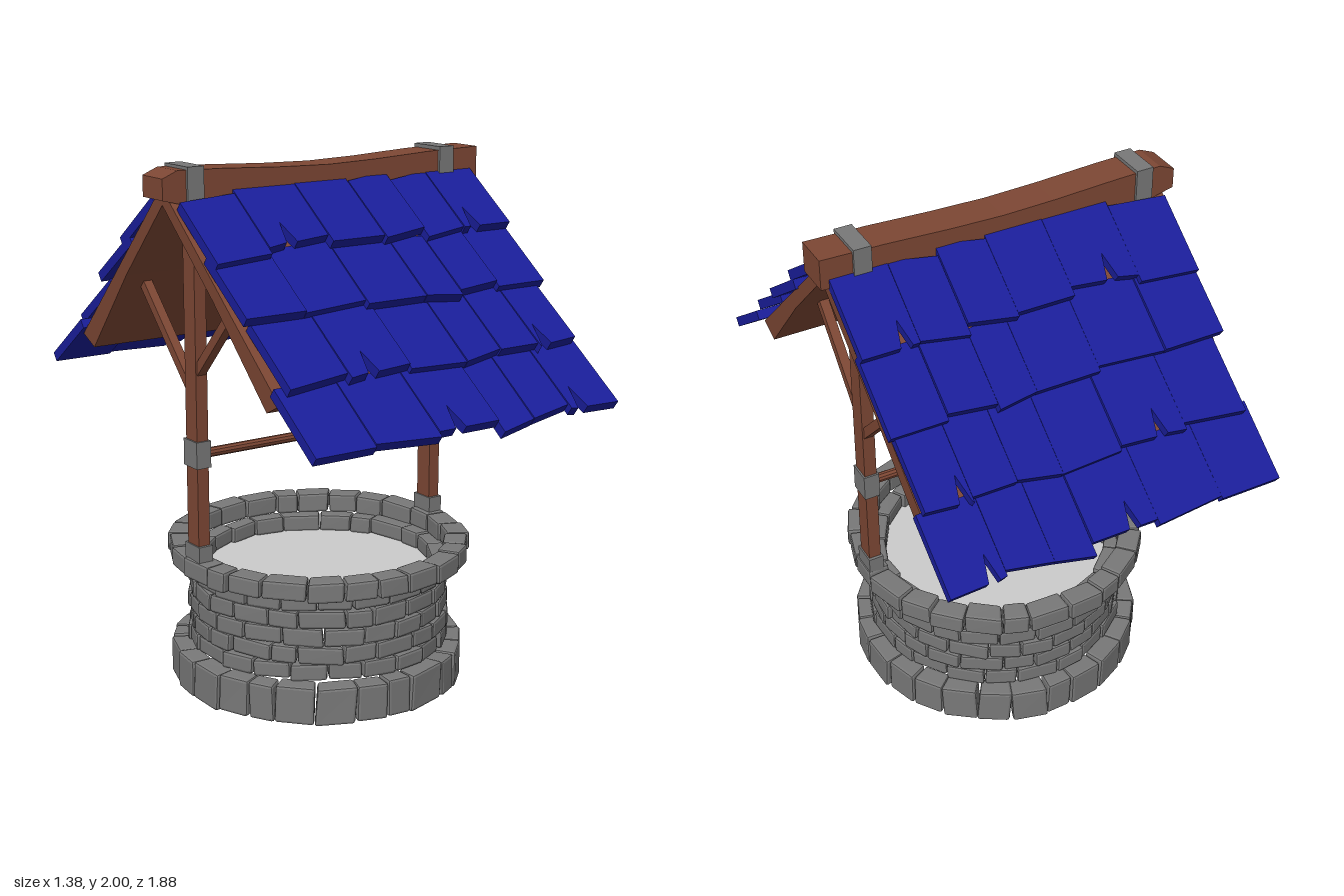
import * as THREE from 'three';
import { mergeGeometries } from 'three/addons/utils/BufferGeometryUtils.js';
import { RoundedBoxGeometry } from 'three/addons/geometries/RoundedBoxGeometry.js';

const mat = (color, side = THREE.FrontSide) =>
  new THREE.MeshStandardMaterial({ color, flatShading: true, side });
const WOOD = mat(0x7d4734), TILE = mat(0x1a1e9a), STONE = mat(0x787878);
const WATER = mat(0xcccccc, THREE.DoubleSide);

let seed = 7;
const rand = () => (seed = (seed * 16807) % 2147483647) / 2147483647;
const jitter = (a) => (rand() * 2 - 1) * a;

function add(parent, name, geometry, material, x = 0, y = 0, z = 0) {
  const mesh = new THREE.Mesh(geometry, material);
  mesh.name = name;
  mesh.position.set(x, y, z);
  parent.add(mesh);
  return mesh;
}

const box = (parent, name, material, w, h, d, x, y, z) =>
  add(parent, name, new THREE.BoxGeometry(w, h, d), material, x, y, z);

function polygon(points) {
  return new THREE.Shape(points.map(([x, y]) => new THREE.Vector2(x, y)));
}

// One chamfered block, bent around the y axis between two angles
function stone(r0, r1, y0, y1, a0, a1) {
  const rm = (r0 + r1) / 2, w = (a1 - a0) * rm, h = y1 - y0, d = r1 - r0;
  const g = new RoundedBoxGeometry(w, h, d, 1, 0.01);
  const p = g.attributes.position;
  const skew = jitter(0.07), lean = jitter(0.05), twist = jitter(0.08), out = jitter(0.006);
  for (let i = 0; i < p.count; i++) {
    const x = p.getX(i), y = p.getY(i), z = p.getZ(i);
    const a = (a0 + a1) / 2 + (x + skew * y) / rm;
    const r = rm + z + out + twist * x;
    p.setXYZ(i, Math.sin(a) * r, (y0 + y1) / 2 + y + lean * x, Math.cos(a) * r);
  }
  g.computeVertexNormals();
  return g;
}

// A closed course of stones of uneven widths
function stoneRing(parent, name, count, r0, r1, y0, y1, phase) {
  const step = (Math.PI * 2) / count, gap = 0.004;
  const cuts = Array.from({ length: count }, (_, i) => phase + step * (i + jitter(0.17)));
  cuts.push(cuts[0] + Math.PI * 2);
  const stones = [];
  for (let i = 0; i < count; i++) {
    stones.push(stone(r0, r1, y0 + jitter(0.003), y1 + jitter(0.003), cuts[i] + gap, cuts[i + 1] - gap));
  }
  add(parent, name, mergeGeometries(stones), STONE);
}

// Tile rows from ridge to eave: edges in x, slant and slide of each tile, notches as tile index: x
const ROWS = [
  { x: [-0.64, -0.41, -0.15, 0.075, 0.26, 0.44, 0.655], slant: [0.02, 0.03, 0.0, 0.03, 0.03, 0.0],
    slide: [-0.03, 0.02, 0, 0, -0.01, 0.0], notch: { 1: -0.31, 5: 0.49 } },
  { x: [-0.64, -0.4, -0.14, 0.11, 0.26, 0.44, 0.655], slant: [0.0, 0.02, 0.0, -0.02, 0.02, 0.0],
    slide: [0.0, 0.01, 0, -0.01, 0.01, 0.0], notch: {} },
  { x: [-0.61, -0.365, -0.11, 0.125, 0.29, 0.46, 0.635], slant: [0.03, 0.02, -0.01, 0.03, 0.0, 0.02],
    slide: [0.0, 0.0, -0.01, 0, 0.01, 0.0], notch: { 1: -0.27, 5: 0.49 } },
  { x: [-0.64, -0.4, -0.14, 0.115, 0.265, 0.44, 0.655], slant: [0.0, -0.02, 0.0, 0.03, 0.03, -0.01],
    slide: [0.0, 0.0, 0.01, -0.02, 0.01, 0.0], notch: { 2: -0.05, 5: 0.49 } },
];

function tileGeometry(x0, x1, slant, slide, notchX, mirror) {
  const length = 0.3, at = (x, v) => [x * mirror, v];
  const rise = slant / 2;
  const pts = [at(x0, slide - rise), at(x0, slide - rise - length)];
  if (notchX !== undefined) {
    pts.push(at(notchX - 0.022, slide - length), at(notchX, slide - length + 0.1), at(notchX + 0.022, slide - length));
  }
  pts.push(at(x1, slide + rise - length), at(x1, slide + rise));
  return new THREE.ExtrudeGeometry(polygon(pts), { depth: 0.037, bevelEnabled: false });
}

// One side of the roof: sloping board and overlapping tiles
function roofSide(name, mirror) {
  const side = new THREE.Group();
  side.name = name;

  const profile = polygon([[0, 1.93], [0.1, 1.835], [0.68, 1.29], [0.6, 1.25], [0.3, 1.575], [0, 1.865]]);
  const board = new THREE.ExtrudeGeometry(profile, { depth: 1.3, bevelEnabled: false });
  board.translate(0, 0, -0.65).rotateY(-Math.PI / 2);
  const p = board.attributes.position;
  for (let i = 0; i < p.count; i++) {
    p.setX(i, p.getX(i) * (0.955 + 0.055 * (p.getY(i) - 1.25) / 0.68));
  }
  board.computeVertexNormals();
  add(side, 'roofBoard', board, WOOD);

  const slope = new THREE.Group();
  slope.name = 'roofTiles';
  slope.position.set(0, 1.93, 0.09);
  slope.rotation.x = -0.822;
  ROWS.forEach((row, r) => {
    for (let i = 0; i < 6; i++) {
      const g = tileGeometry(row.x[i] + 0.001, row.x[i + 1] - 0.001, row.slant[i], row.slide[i], row.notch[i], mirror);
      const lift = ((i * 5 + r * 3) % 4) * 0.005;
      const tile = add(slope, 'roofTile', g, TILE, 0, -0.275 * r, -0.07 + lift * 0.4);
      tile.rotation.x = -0.115 - lift;
    }
  });
  side.add(slope);
  return side;
}

// Square strut between two points in the zy plane
function brace(parent, x, z0, y0, z1, y1) {
  const dz = z1 - z0, dy = y1 - y0;
  const m = box(parent, 'brace', WOOD, 0.035, Math.hypot(dz, dy), 0.035, x, (y0 + y1) / 2, (z0 + z1) / 2);
  m.rotation.x = Math.atan2(dz, dy);
}

export function createModel() {
  seed = 7;
  const well = new THREE.Group();
  well.name = 'well';

  // Stone shaft
  const shaft = new THREE.Group();
  shaft.name = 'stoneShaft';
  stoneRing(shaft, 'baseRing', 26, 0.475, 0.558, 0.008, 0.15, 0.1);
  const courses = 5, h = 0.335 / courses;
  for (let i = 0; i < courses; i++) {
    stoneRing(shaft, 'wallCourse', 22, 0.43, 0.497, 0.15 + i * h, 0.15 + (i + 1) * h, i * 0.14);
  }
  stoneRing(shaft, 'rimRing', 26, 0.485, 0.572, 0.48, 0.555, 0.02);
  add(shaft, 'water', new THREE.CircleGeometry(0.45, 40).rotateX(-Math.PI / 2), WATER, 0, 0.42, 0);
  well.add(shaft);

  // Posts with collars and braces
  for (const s of [-1, 1]) {
    const post = new THREE.Group();
    post.name = s > 0 ? 'leftPost' : 'rightPost';
    const x = s * 0.53;
    box(post, 'postBeam', WOOD, 0.047, 1.37, 0.075, x, 1.235, 0);
    box(post, 'footCollar', STONE, 0.058, 0.08, 0.098, x, 0.575, 0);
    box(post, 'middleCollar', STONE, 0.06, 0.1, 0.09, x, 0.96, 0);
    brace(post, x, 0.01, 1.25, 0.33, 1.59);
    brace(post, x, -0.01, 1.18, -0.37, 1.55);
    box(post, 'ridgeStrap', STONE, 0.066, 0.145, 0.156, s > 0 ? 0.533 : -0.563, 1.9275, 0);
    well.add(post);
  }
  add(well, 'crossbar', new THREE.CylinderGeometry(0.018, 0.018, 1.04, 10).rotateZ(Math.PI / 2), WOOD, 0, 0.953, 0);

  // Sagging ridge beam
  const ridge = polygon([[-0.69, 1.89], [-0.6, 1.868], [-0.3, 1.862], [0, 1.855], [0.3, 1.86], [0.685, 1.875],
    [0.685, 1.99], [0.45, 1.985], [0.2, 1.973], [0, 1.968], [-0.2, 1.973], [-0.45, 1.985], [-0.63, 1.99], [-0.69, 1.965]]);
  add(well, 'ridgeBeam', new THREE.ExtrudeGeometry(ridge, { depth: 0.136, bevelEnabled: false }), WOOD, 0, 0, -0.068);

  // Roof sides, the back one turned around with its tile pattern mirrored
  well.add(roofSide('frontRoof', 1));
  const back = roofSide('backRoof', -1);
  back.rotation.y = Math.PI;
  well.add(back);
  return well;
}
